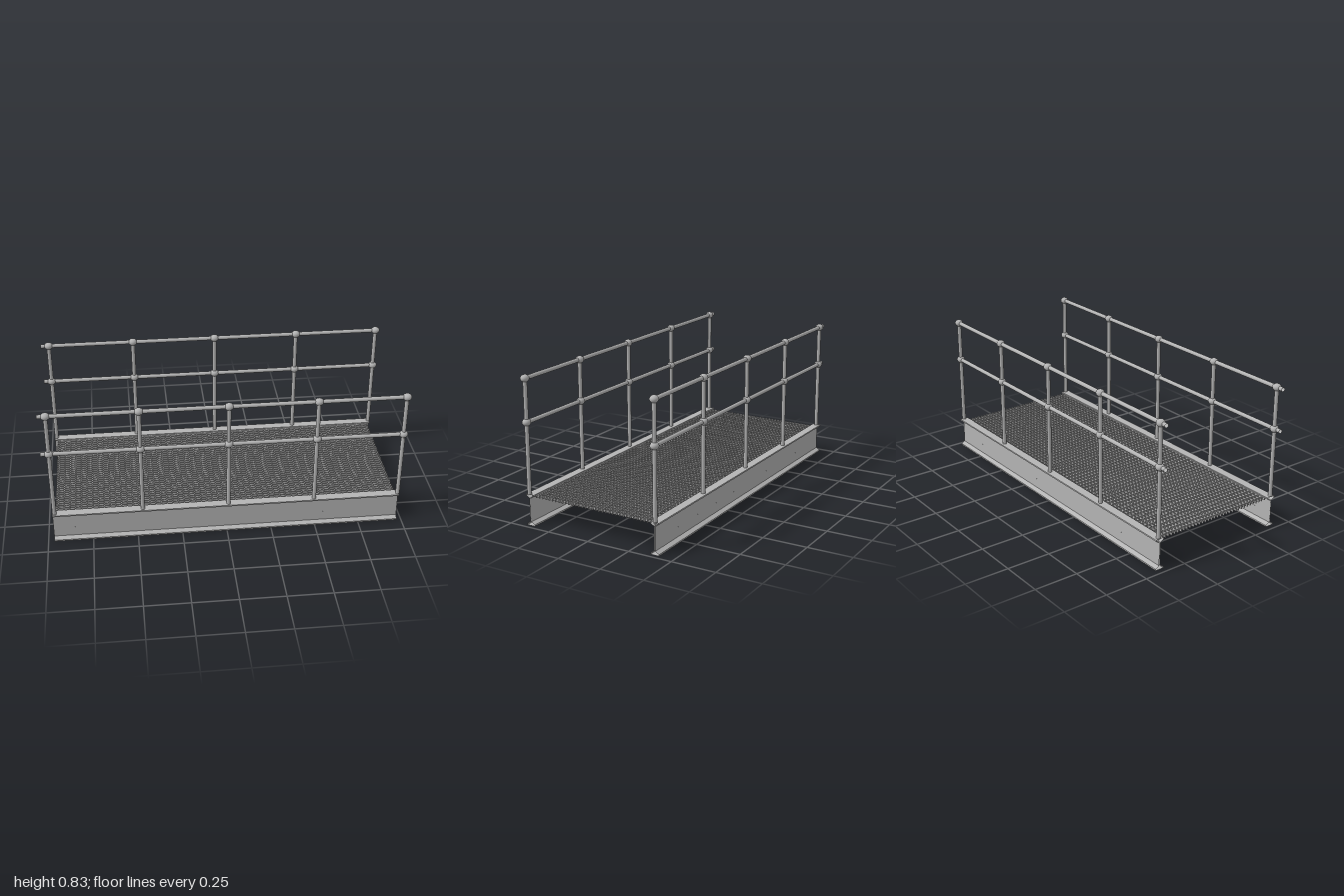
import * as THREE from 'three';
import { mergeGeometries } from 'three/addons/utils/BufferGeometryUtils.js';

const steel = new THREE.MeshStandardMaterial({ color: 0xb4b4b4, side: THREE.DoubleSide });
steel.name = 'galvanised steel';

const POSTS = [-0.955, -0.468, 0.01, 0.492, 0.97];
const RAIL_HEIGHTS = [0.57, 0.805];

function add(parent, name, geometry, x = 0, y = 0, z = 0) {
  const mesh = new THREE.Mesh(geometry, steel);
  mesh.name = name;
  mesh.position.set(x, y, z);
  parent.add(mesh);
  return mesh;
}

// Open-ended I-section with tapered flanges, swept along x
function beamGeometry(x0, x1) {
  const half = [
    [0.025, 0], [0.025, 0.008], [0.003, 0.021],
    [0.003, 0.154], [0.025, 0.167], [0.025, 0.175],
  ];
  const ring = [...half, ...half.map(([z, y]) => [-z, y]).reverse()];
  const pos = [];
  ring.forEach(([z, y], i) => {
    const [z2, y2] = ring[(i + 1) % ring.length];
    pos.push(x0, y, z, x1, y, z, x1, y2, z2, x0, y, z, x1, y2, z2, x0, y2, z2);
  });
  const g = new THREE.BufferGeometry();
  g.setAttribute('position', new THREE.Float32BufferAttribute(pos, 3));
  g.computeVertexNormals();
  return g;
}

// Floor of bearing bars along x crossed by bars along z
function gratingGeometry() {
  const bars = [];
  const depth = 0.014, thick = 0.004;
  const nz = 36, nx = 60;
  for (let i = 0; i <= nz; i++) {
    const z = -0.38 + (0.756 * i) / nz;
    bars.push(new THREE.BoxGeometry(1.91, depth, thick).translate(0.005, 0, z));
  }
  for (let i = 0; i < nx; i++) {
    const x = -0.935 + (1.88 * i) / (nx - 1);
    bars.push(new THREE.BoxGeometry(thick, depth, 0.76).translate(x, 0, -0.002));
  }
  return mergeGeometries(bars);
}

export function createModel() {
  const model = new THREE.Group();
  model.name = 'walkway';

  add(model, 'floorGrating', gratingGeometry(), 0, 0.164, 0);

  // Side beams with a row of small bolts through the web
  const beam = beamGeometry(-0.967, 0.975);
  const bolt = new THREE.CylinderGeometry(0.003, 0.003, 0.0076, 8).rotateX(Math.PI / 2);
  for (const z of [0.385, -0.389]) {
    const side = new THREE.Group();
    side.name = z > 0 ? 'frontBeam' : 'backBeam';
    side.position.z = z;
    model.add(side);
    add(side, 'beam', beam);
    for (let x = -0.85; x < 0.9; x += 0.2) add(side, 'bolt', bolt, x, 0.075, 0);
  }

  // Handrails: posts, two rails and ball joints
  const postHeight = 0.805 - 0.175;
  const post = new THREE.CylinderGeometry(0.0115, 0.0115, postHeight, 20);
  const rail = new THREE.CylinderGeometry(0.0115, 0.0115, 1.97, 20, 1, true).rotateZ(Math.PI / 2);
  const ball = new THREE.SphereGeometry(1, 24, 16).scale(0.025, 0.0205, 0.023);
  for (const z of [0.39, -0.39]) {
    const side = new THREE.Group();
    side.name = z > 0 ? 'frontHandrail' : 'backHandrail';
    side.position.z = z;
    model.add(side);
    for (const y of RAIL_HEIGHTS) add(side, 'rail', rail, -0.015, y, 0);
    for (const x of POSTS) {
      add(side, 'post', post, x, 0.175 + postHeight / 2, 0);
      for (const y of RAIL_HEIGHTS) add(side, 'ballJoint', ball, x, y, 0);
    }
  }
  return model;
}
